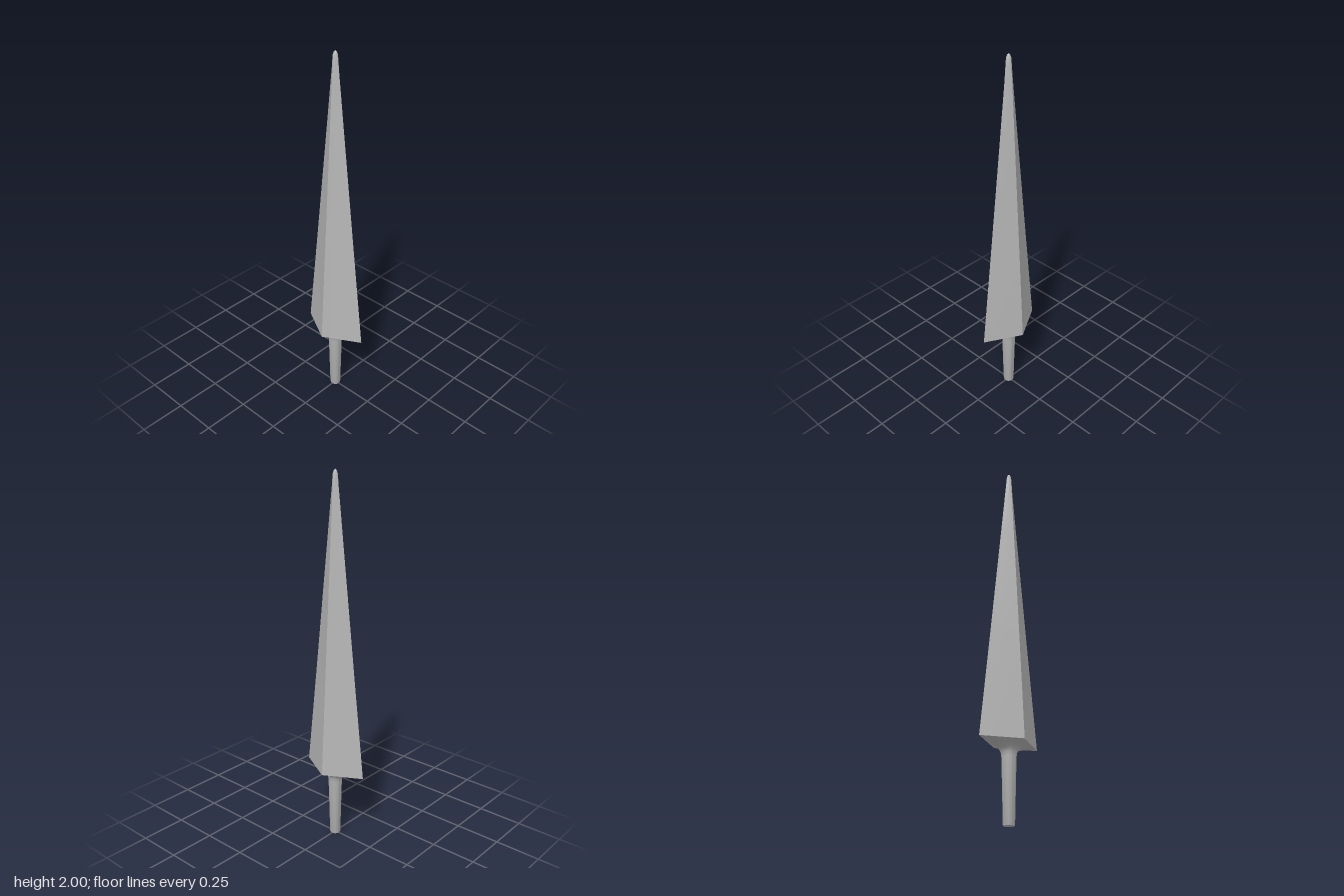
import * as THREE from 'three';
import { toCreasedNormals } from 'three/addons/utils/BufferGeometryUtils.js';

const SIDES = 32;

// Skin a stack of sections [y, halfWidth, halfDepth, roundness];
// roundness 0 is a diamond, 1 is an ellipse.
function loft(sections) {
  const pos = [], index = [];
  for (const [y, rx, rz, round] of sections) {
    for (let i = 0; i < SIDES; i++) {
      const a = (i / SIDES) * Math.PI * 2, c = Math.cos(a), s = Math.sin(a);
      const k = THREE.MathUtils.lerp(1 / (Math.abs(c) + Math.abs(s)), 1, round);
      pos.push(rx * c * k, y, rz * s * k);
    }
  }
  for (let j = 0; j < sections.length - 1; j++) {
    for (let i = 0; i < SIDES; i++) {
      const n = (i + 1) % SIDES, lo = j * SIDES, hi = lo + SIDES;
      if (sections[j + 1][1] > 0) index.push(lo + i, hi + i, hi + n);
      if (sections[j][1] > 0) index.push(lo + i, hi + n, lo + n);
    }
  }
  const g = new THREE.BufferGeometry();
  g.setAttribute('position', new THREE.Float32BufferAttribute(pos, 3));
  g.setIndex(index);
  return toCreasedNormals(g, 0.6);
}

export function createModel() {
  const steel = new THREE.MeshStandardMaterial({ color: 0xb4b4b4 });
  steel.name = 'steel';
  const group = new THREE.Group();
  group.name = 'spearhead';

  const add = (name, sections) => {
    const mesh = new THREE.Mesh(loft(sections), steel);
    mesh.name = name;
    group.add(mesh);
  };

  // Four-faced blade with a softened point
  add('blade', [
    [0.4, 0.195, 0.11, 0],
    [1.0, 0.126, 0.075, 0],
    [1.6, 0.058, 0.039, 0],
    [1.85, 0.03, 0.024, 0.1],
    [1.95, 0.018, 0.017, 0.4],
    [1.98, 0.013, 0.013, 0.8],
    [1.994, 0.007, 0.007, 1],
    [2.0, 0, 0, 1],
  ]);

  // Round tapered tang flaring out into the diamond underside of the blade
  add('tang', [
    [0, 0, 0, 1],
    [0, 0.027, 0.027, 1],
    [0.006, 0.029, 0.029, 1],
    [0.33, 0.037, 0.037, 1],
    [0.352, 0.041, 0.04, 1],
    [0.366, 0.051, 0.046, 0.9],
    [0.376, 0.072, 0.055, 0.7],
    [0.386, 0.11, 0.072, 0.35],
    [0.4, 0.195, 0.11, 0],
  ]);

  return group;
}
